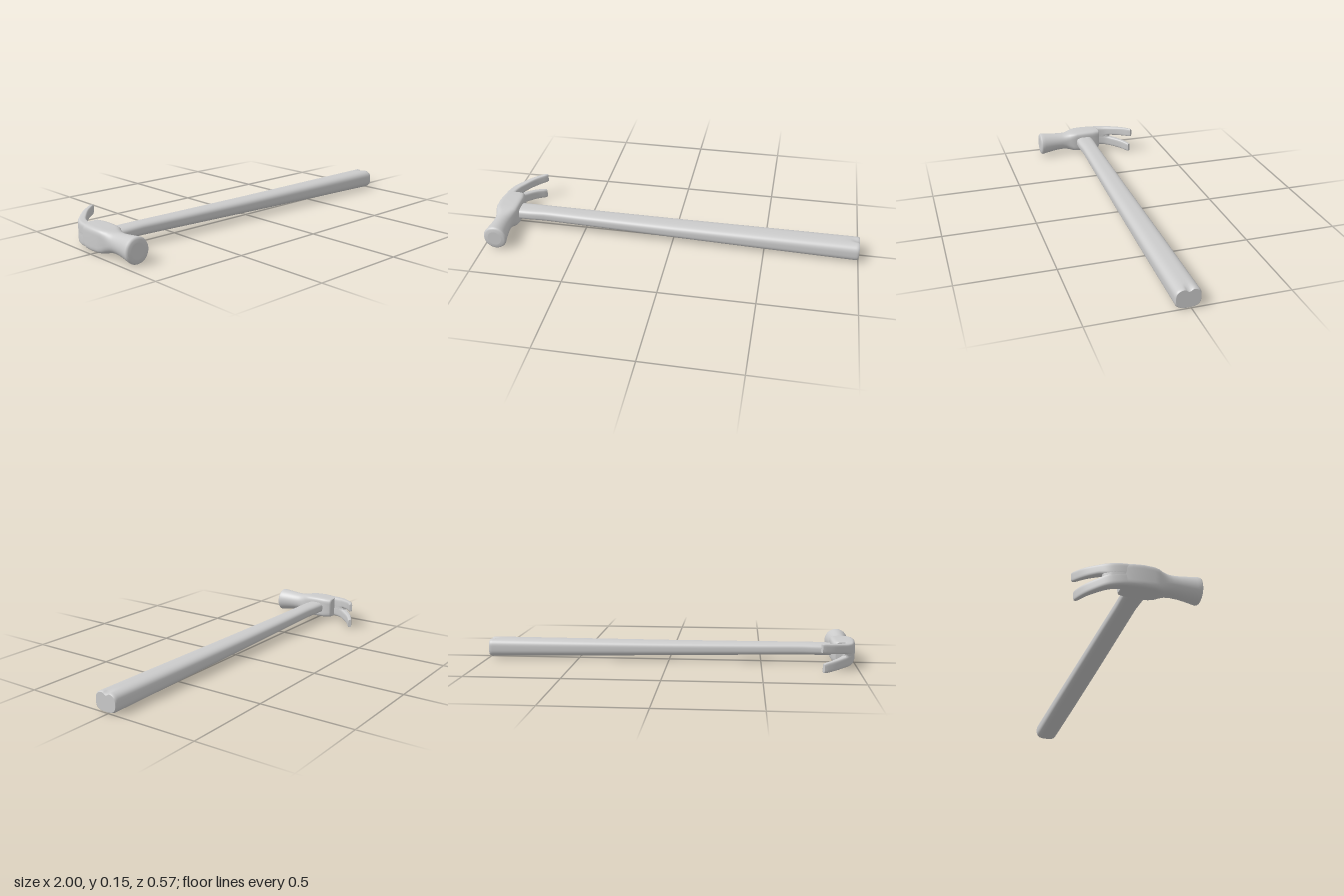
import * as THREE from 'three';

const V = (x, y, z) => new THREE.Vector3(x, y, z);
const grey = new THREE.MeshStandardMaterial({ color: 0xcccccc });

// Skin a row of superellipse sections { c, u, v, n }: centre, half axes (u x v points along the row), squareness
function loft(name, sections, sides = 48) {
  const pos = [], idx = [];
  const first = sections[0], last = sections[sections.length - 1];
  const shrink = (s, k) => ({ ...s, u: s.u.clone().multiplyScalar(k), v: s.v.clone().multiplyScalar(k) });
  const caps = [0.001, 0.6, 0.97];
  const rows = [...caps.map(k => shrink(first, k)), ...sections, ...caps.reverse().map(k => shrink(last, k))];
  const power = (t, n) => Math.sign(t) * Math.pow(Math.abs(t), 2 / n);
  rows.forEach((s, i) => {
    for (let j = 0; j < sides; j++) {
      const a = (j / sides) * Math.PI * 2;
      const p = s.c.clone()
        .addScaledVector(s.u, power(Math.cos(a), s.n))
        .addScaledVector(s.v, power(Math.sin(a), s.n));
      pos.push(p.x, p.y, p.z);
      if (i === rows.length - 1) continue;
      const k = (j + 1) % sides, r = i * sides, q = r + sides;
      idx.push(r + j, r + k, q + k, r + j, q + k, q + j);
    }
  });
  const g = new THREE.BufferGeometry();
  g.setAttribute('position', new THREE.Float32BufferAttribute(pos, 3));
  g.setIndex(idx);
  g.computeVertexNormals();
  const mesh = new THREE.Mesh(g, grey);
  mesh.name = name;
  return mesh;
}

// Piecewise linear lookup in rows of [key, ...values]
function sample(rows, t) {
  let i = 0;
  while (i < rows.length - 2 && t > rows[i + 1][0]) i++;
  const a = rows[i], b = rows[i + 1];
  const k = THREE.MathUtils.clamp((t - a[0]) / (b[0] - a[0]), 0, 1);
  return a.slice(1).map((value, j) => THREE.MathUtils.lerp(value, b[j + 1], k));
}

// Handle: tapered rounded bar with a small notch on top of the grip end
function handle() {
  const rows = [ // x, yMin, yMax, zMin, zMax
    [-0.93, 0.04, 0.103, -0.047, 0.055],
    [-0.8, 0.042, 0.106, -0.047, 0.058],
    [-0.72, 0.042, 0.107, -0.044, 0.054],
    [-0.5, 0.037, 0.105, -0.046, 0.058],
    [0, 0.025, 0.103, -0.049, 0.067],
    [0.5, 0.013, 0.104, -0.051, 0.074],
    [0.99, 0.002, 0.105, -0.051, 0.079],
    [1, 0.006, 0.101, -0.047, 0.075],
  ];
  const xs = [...Array.from({ length: 48 }, (_, i) => -0.93 + i * 0.04), 0.97, 0.98, 0.99, 0.995, 1];
  const mesh = loft('handle', xs.map(x => {
    const [y0, y1, z0, z1] = sample(rows, x);
    return { c: V(x, (y0 + y1) / 2, (z0 + z1) / 2), u: V(0, (y1 - y0) / 2, 0), v: V(0, 0, (z1 - z0) / 2), n: 2.9 };
  }), 72);
  const p = mesh.geometry.attributes.position;
  for (let i = 0; i < p.count; i++) {
    const depth = 0.014 * THREE.MathUtils.smoothstep(p.getX(i), 0.94, 1);
    if (p.getY(i) > 0.08) p.setY(i, p.getY(i) - depth * Math.exp(-(((p.getZ(i) - 0.01) / 0.014) ** 2)));
  }
  mesh.geometry.computeVertexNormals();
  return mesh;
}

// Head: square eye block narrowing to a round neck and flaring to the striking face
function head() {
  const rows = [ // z, xMin, xMax, yMin, yMax, squareness
    [-0.096, -0.982, -0.89, 0.02, 0.129, 5],
    [-0.089, -0.986, -0.877, 0.016, 0.132, 5],
    [-0.05, -0.996, -0.871, 0.013, 0.133, 6],
    [0, -1, -0.87, 0.012, 0.134, 6],
    [0.05, -0.998, -0.87, 0.012, 0.133, 5.5],
    [0.075, -0.993, -0.872, 0.014, 0.131, 4.5],
    [0.095, -0.986, -0.879, 0.018, 0.128, 3.2],
    [0.12, -0.982, -0.883, 0.022, 0.124, 2.4],
    [0.145, -0.981, -0.883, 0.022, 0.124, 2.1],
    [0.18, -0.983, -0.881, 0.019, 0.126, 2],
    [0.22, -0.987, -0.876, 0.013, 0.13, 2],
    [0.255, -0.992, -0.87, 0.006, 0.133, 2],
    [0.272, -0.994, -0.867, 0.003, 0.135, 2],
    [0.279, -0.991, -0.87, 0.006, 0.132, 2],
    [0.283, -0.983, -0.878, 0.014, 0.124, 2],
    [0.285, -0.968, -0.893, 0.029, 0.109, 2],
  ];
  return loft('head', rows.map(([z, x0, x1, y0, y1, n]) => ({
    c: V((x0 + x1) / 2, (y0 + y1) / 2, z), u: V((x1 - x0) / 2, 0, 0), v: V(0, (y1 - y0) / 2, 0), n,
  })));
}

// Claw parts follow one curve sweeping backward and toward the grip
const clawPath = new THREE.CatmullRomCurve3([
  V(-0.964, 0, -0.05), V(-0.96, 0, -0.1), V(-0.943, 0, -0.15),
  V(-0.91, 0, -0.192), V(-0.865, 0, -0.237), V(-0.8, 0, -0.281),
]);

// rows: t, yMin, yMax, half thickness
function clawPart(name, end, squareness, rows) {
  const sections = [];
  for (let i = 0; i <= 24; i++) {
    const t = end * i / 24;
    const [y0, y1, thick] = sample(rows, t);
    const tip = i === 24 ? 0.8 : 1;
    const up = V(0, 1, 0), side = up.clone().cross(clawPath.getTangentAt(t)).normalize();
    sections.push({
      c: clawPath.getPointAt(t).setY((y0 + y1) / 2),
      u: side.multiplyScalar(thick * tip),
      v: up.multiplyScalar((y1 - y0) / 2 * (tip + 1) / 2),
      n: squareness,
    });
  }
  return loft(name, sections);
}

export function createModel() {
  const group = new THREE.Group();
  group.name = 'clawHammer';
  group.add(
    handle(),
    head(),
    // the web fills the middle between the prongs and ends at the notch
    clawPart('clawWeb', 0.44, 6, [
      [0, 0.025, 0.123, 0.0265], [0.3, 0.023, 0.126, 0.0225], [0.4, 0.03, 0.12, 0.018], [0.44, 0.035, 0.115, 0.013],
    ]),
    clawPart('upperProng', 1, 4, [
      [0, 0.06, 0.131, 0.027], [0.3, 0.066, 0.133, 0.023], [0.47, 0.085, 0.137, 0.019],
      [0.75, 0.095, 0.147, 0.014], [1, 0.105, 0.154, 0.01],
    ]),
    clawPart('lowerProng', 0.95, 4, [
      [0, 0.017, 0.09, 0.027], [0.3, 0.015, 0.084, 0.023], [0.47, 0.013, 0.07, 0.019],
      [0.75, 0.006, 0.06, 0.014], [0.95, 0, 0.051, 0.011],
    ]),
  );
  return group;
}
